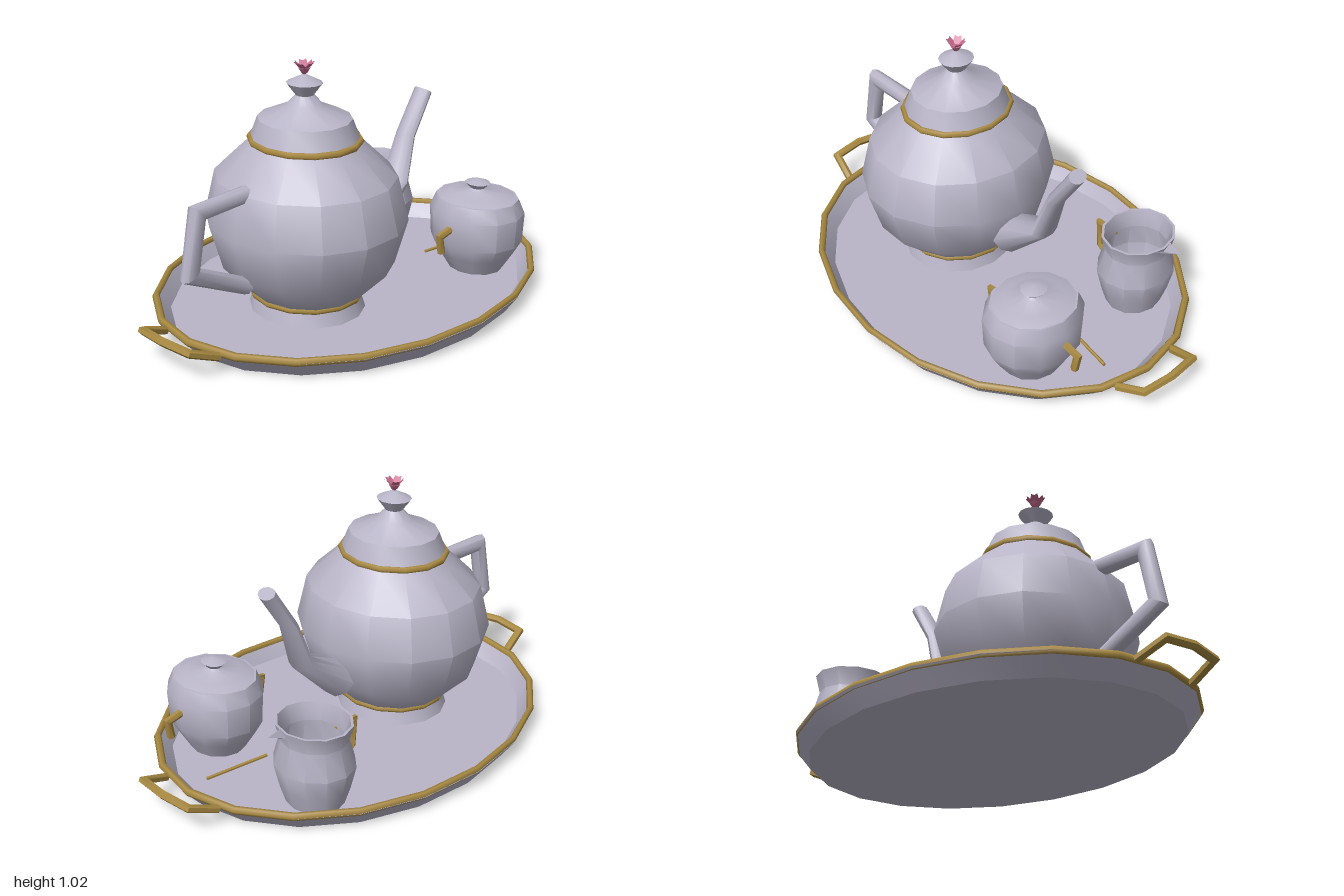
import * as THREE from 'three';
import { toCreasedNormals } from 'three/addons/utils/BufferGeometryUtils.js';

const mat = (name, color) => {
  const m = new THREE.MeshStandardMaterial({ color });
  m.name = name;
  return m;
};

export function createModel() {
  const china = mat('lavender china', 0xb9b5c8);
  const chinaThin = mat('lavender china', 0xb9b5c8);
  chinaThin.side = THREE.DoubleSide;
  const gold = mat('gold', 0xa98a42);
  const pink = mat('pink', 0xc76c8d);
  pink.side = THREE.DoubleSide;

  const add = (parent, name, geometry, material, x = 0, y = 0, z = 0) => {
    const mesh = new THREE.Mesh(geometry, material);
    mesh.name = name;
    mesh.position.set(x, y, z);
    parent.add(mesh);
    return mesh;
  };

  // Turned body, squashed along x or z
  const turned = (profile, sides, sx = 1, sz = 1, start = 0) => {
    const g = new THREE.LatheGeometry(profile.map(([r, y]) => new THREE.Vector2(r, y)), sides, start);
    g.scale(sx, 1, sz);
    return toCreasedNormals(g, 0.65);
  };

  // Oval gold trim ring lying flat
  const ring = (rx, rz, tube, sides) => {
    const g = new THREE.TorusGeometry(1, tube / rx, 6, sides);
    g.rotateX(Math.PI / 2);
    g.scale(rx, rx, rz);
    return g;
  };

  // Mitred bar along a planar path; sizes are [in plane, across plane] half widths
  const bar = (path, sizes, normal = [0, 0, 1], sides = 8) => {
    const pts = path.map(p => new THREE.Vector3(...p));
    const N = new THREE.Vector3(...normal).normalize();
    const last = pts.length - 1;
    const dirs = pts.slice(1).map((p, i) => p.clone().sub(pts[i]).normalize());
    const g = new THREE.CylinderGeometry(1, 1, last, sides, last);
    const pos = g.attributes.position;
    for (let i = 0; i < pos.count; i++) {
      const k = Math.round(pos.getY(i) + last / 2);
      const before = dirs[Math.max(k - 1, 0)];
      const T = before.clone().add(dirs[Math.min(k, last - 1)]).normalize();
      const A = T.clone().cross(N).normalize();
      const [a, b] = Array.isArray(sizes) ? sizes[k] : [sizes, sizes];
      const p = pts[k].clone()
        .addScaledVector(A, pos.getX(i) * a / T.dot(before))
        .addScaledVector(N, pos.getZ(i) * b);
      pos.setXYZ(i, p.x, p.y, p.z);
    }
    return toCreasedNormals(g, 0.85);
  };

  const model = new THREE.Group();
  model.name = 'teaSet';
  const group = name => {
    const g = new THREE.Group();
    g.name = name;
    model.add(g);
    return g;
  };

  // Tray with gold rim and two carrying handles
  const tray = group('tray');
  add(tray, 'trayDish', turned([[0, 0], [0.81, 0], [0.875, 0.075], [0.85, 0.08], [0.8, 0.02], [0, 0.02]], 20, 1, 0.783), china);
  add(tray, 'trayRim', ring(0.862, 0.672, 0.016, 20), gold, 0, 0.078, 0);
  for (const s of [1, -1]) {
    add(tray, 'trayHandle', bar([
      [s * 0.85, 0.07, -0.15], [s * 0.967, 0.12, -0.13], [s * 0.983, 0.127, 0],
      [s * 0.967, 0.12, 0.13], [s * 0.85, 0.07, 0.15]], 0.017, [-0.4 * s, 0.917, 0], 6), gold);
  }

  // Teapot body, lid and trims
  const pot = group('teapot');
  const cx = -0.25, squash = 0.92;
  add(pot, 'potBody', turned([[0, 0.02], [0.24, 0.02], [0.22, 0.085], [0.245, 0.105], [0.36, 0.22],
    [0.413, 0.4], [0.37, 0.575], [0.23, 0.705], [0, 0.715]], 14, squash, 1, Math.PI / 2), china, cx);
  add(pot, 'potLid', turned([[0, 0.705], [0.225, 0.71], [0.19, 0.8], [0.075, 0.85], [0.037, 0.89],
    [0.073, 0.937], [0, 0.972]], 14, squash, 1, Math.PI / 2), china, cx);
  add(pot, 'lidTrim', ring(0.2, 0.222, 0.014, 14), gold, cx, 0.715, 0);
  add(pot, 'footTrim', ring(0.21, 0.225, 0.013, 14), gold, cx, 0.088, 0);
  add(pot, 'potHandle', bar([[-0.56, 0.577], [-0.797, 0.57], [-0.842, 0.34], [-0.57, 0.205]]
    .map(([x, y]) => [x, y, 0]), 0.034), china);
  add(pot, 'potSpout', bar([[0.07, 0.255, 0], [0.275, 0.4, 0], [0.337, 0.585, 0], [0.445, 0.753, 0]],
    [[0.085, 0.09], [0.036, 0.065], [0.029, 0.046], [0.03, 0.041]], [0, 0, 1], 10), china);

  // Flower finial on the lid
  const petal = new THREE.Shape([[0, 0], [0.017, 0.028], [0.013, 0.052], [0, 0.046], [-0.013, 0.052], [-0.017, 0.028]]
    .map(p => new THREE.Vector2(...p)));
  const petalShape = new THREE.ShapeGeometry(petal);
  petalShape.rotateX(0.82);
  for (let i = 0; i < 5; i++) {
    const angle = i * Math.PI * 2 / 5;
    add(pot, 'flowerPetal', petalShape, pink, cx, 0.982, 0).rotation.y = angle;
  }
  add(pot, 'flowerCup', turned([[0, 0.965], [0.012, 0.975], [0.024, 0.995], [0, 0.99]], 10), pink, cx);

  // Sugar bowl with lid and two hooked handles
  const sugar = group('sugarBowl');
  add(sugar, 'sugarBody', turned([[0, 0.02], [0.12, 0.02], [0.165, 0.09], [0.2, 0.15], [0.207, 0.275],
    [0.18, 0.335], [0, 0.338]], 12, 0.89), china, 0.5, 0, 0.26);
  add(sugar, 'sugarLid', turned([[0, 0.33], [0.172, 0.335], [0.12, 0.352], [0.045, 0.362], [0.032, 0.372],
    [0.055, 0.394], [0, 0.412]], 12, 0.89), china, 0.5, 0, 0.26);
  for (const s of [1, -1]) {
    add(sugar, 'sugarHandle', bar([[s * 0.15, 0.238, 0.26], [s * 0.243, 0.22, 0.26], [s * 0.23, 0.147, 0.26]],
      0.016, [0, 0, 1], 6), gold, 0.5);
  }

  // Open milk jug with a pouring lip and handle
  const jug = group('milkJug');
  add(jug, 'jugBody', turned([[0, 0.02], [0.12, 0.02], [0.145, 0.095], [0.167, 0.185], [0.138, 0.29], [0.157, 0.36],
    [0.146, 0.36], [0.126, 0.29], [0.15, 0.185], [0.105, 0.035], [0, 0.035]], 12, 0.9), china, 0.5, 0, -0.3);
  const lip = new THREE.BufferGeometry();
  lip.setAttribute('position', new THREE.Float32BufferAttribute([
    0.62, 0.355, -0.25, 0.725, 0.385, -0.3, 0.63, 0.338, -0.3,
    0.62, 0.355, -0.35, 0.63, 0.338, -0.3, 0.725, 0.385, -0.3], 3));
  lip.computeVertexNormals();
  add(jug, 'jugLip', lip, chinaThin);
  add(jug, 'jugHandle', bar([[0.385, 0.285], [0.29, 0.275], [0.3, 0.165], [0.375, 0.115]]
    .map(([x, y]) => [x, y, -0.3]), 0.014, [0, 0, 1], 6), gold);

  // Stirring stick resting on the tray
  add(model, 'stirrer', bar([[0.44, 0.03, 0.035], [0.712, 0.03, 0.077]], 0.007, [0, 1, 0], 6), gold);

  return model;
}
